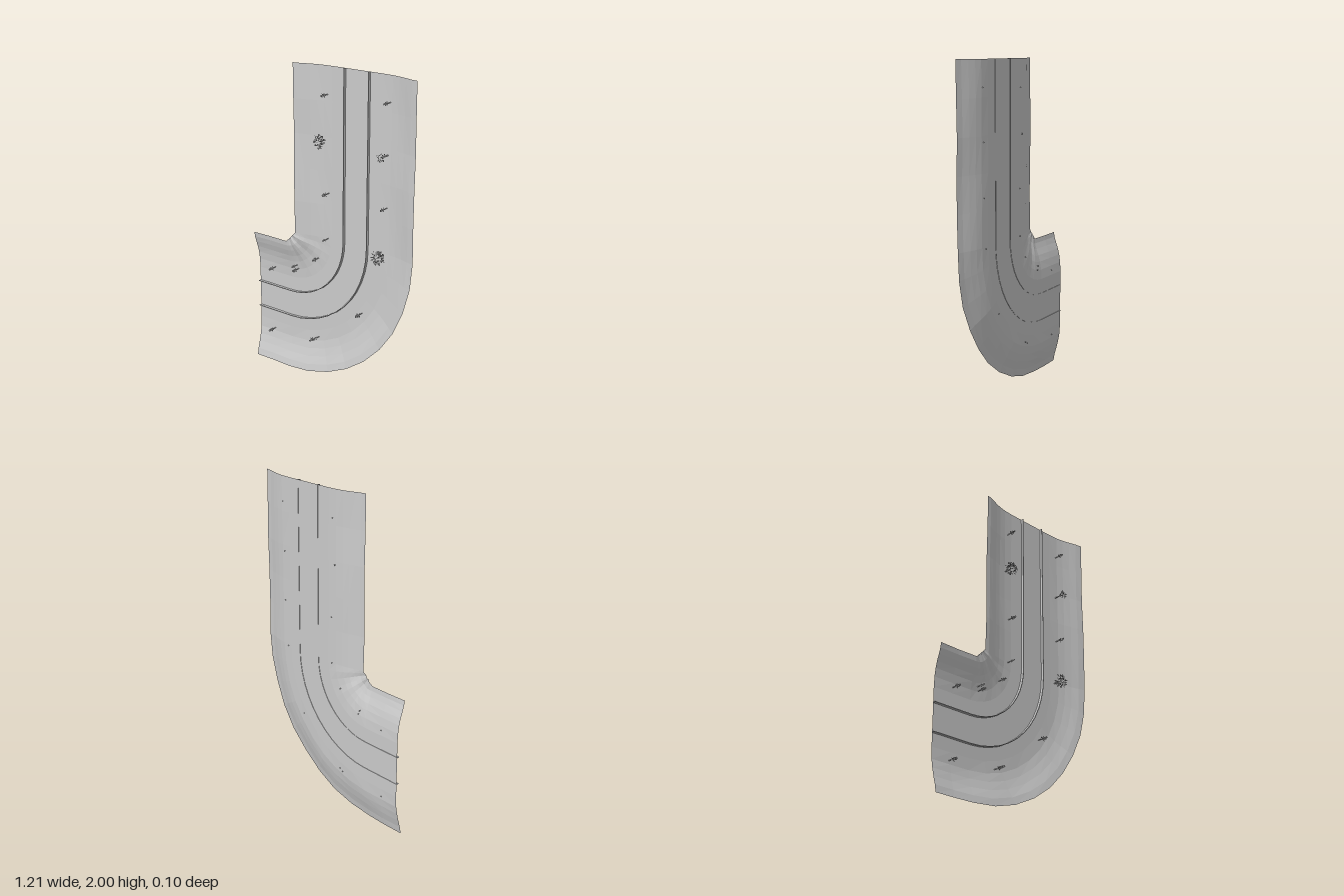
import * as THREE from 'three';
import { mergeGeometries } from 'three/addons/utils/BufferGeometryUtils.js';

const CX = -0.335, CY = 0.94, R = 0.505; // centre and radius of the bend
const material = () => new THREE.MeshStandardMaterial({ color: 0xcccccc, flatShading: true, side: THREE.DoubleSide });

// Stations along the track: origin of the cross-section and its outward direction
function stations(arcSteps) {
  const list = [];
  for (const x of [-0.605, -0.47]) list.push({ x, y: CY, a: -Math.PI / 2, bend: false });
  for (let i = 0; i <= arcSteps; i++) {
    list.push({ x: CX, y: CY, a: -Math.PI / 2 * (1 - i / arcSteps), bend: true });
  }
  for (let i = 1; i <= 5; i++) list.push({ x: CX, y: CY + (2 - CY) * i / 5, a: 0, bend: false });
  return list;
}

// Connects equal-length rows of [x, y, z] points into a sheet
function loft(rows, closed = false) {
  const n = rows[0].length, index = [];
  for (let i = 0; i < rows.length - 1; i++) {
    for (let j = 0; j < (closed ? n : n - 1); j++) {
      const a = i * n + j, b = i * n + (j + 1) % n;
      index.push(a, b, a + n, b, b + n, a + n);
    }
  }
  const g = new THREE.BufferGeometry();
  g.setAttribute('position', new THREE.Float32BufferAttribute(rows.flat(2), 3));
  g.setIndex(index);
  g.computeVertexNormals();
  return g;
}

// Valley section: offset from the centre line, depth
const section = [[-0.435, 0.004], [-0.405, 0], [-0.37, -0.01], [-0.33, -0.024], [-0.29, -0.034],
  [-0.24, -0.042], [-0.18, -0.046], [0, -0.046], [0.17, -0.046], [0.24, -0.044],
  [0.29, -0.036], [0.34, -0.024], [0.39, -0.009], [0.435, 0]];

function groundGeometry() {
  const rows = stations(9).map((s, i) => section.map(([d, z]) => {
    let r = R + d;
    // The inside corner is cut straight across
    if (s.bend && d < -0.42) r *= Math.SQRT1_2 / Math.cos(s.a + Math.PI / 4);
    const rim = Math.max(0, Math.abs(d) - 0.2) / 0.235;
    const bump = 0.007 * rim * (1 - rim * 0.6) * Math.sin(i * 1.9 + d * 7);
    return [s.x + r * Math.cos(s.a), s.y + r * Math.sin(s.a), z + bump];
  }));
  return loft(rows);
}

function railGeometry(offset) {
  const w = 0.0025, back = -0.0485, front = -0.029;
  const corners = [[-w, back], [w, back], [w, front], [-w, front]];
  const rows = stations(12).map(s => corners.map(([d, z]) => {
    const r = R + offset + d;
    return [s.x + r * Math.cos(s.a), s.y + r * Math.sin(s.a), z];
  }));
  return loft(rows, true);
}

function seeded(seed) {
  return () => (seed = (seed * 16807) % 2147483647) / 2147483647;
}

// One small diamond leaf, folded along its middle
function leafGeometry(length, width) {
  return loft([
    [[0, 0, 0], [0, 0, 0], [0, 0, 0]],
    [[-width, 0, length * 0.5], [0, width * 0.5, length * 0.5], [width, 0, length * 0.5]],
    [[0, 0, length], [0, 0, length], [0, 0, length]],
  ]);
}

// Round bush: leaves scattered through a ball on a short stem
function bushGeometry(radius, seed) {
  const rnd = seeded(seed), parts = [];
  const count = Math.round(radius * 2200), middle = 0.05 - radius * 0.85;
  for (let i = 0; i < count; i++) {
    const u = rnd() * 2 - 1, t = rnd() * Math.PI * 2, k = radius * (0.35 + 0.5 * rnd());
    const h = Math.sqrt(1 - u * u);
    const dir = new THREE.Vector3(h * Math.cos(t), h * Math.sin(t), u);
    const aim = dir.clone().add(new THREE.Vector3(rnd() - 0.5, rnd() - 0.5, rnd() - 0.5)).normalize();
    const leaf = leafGeometry(radius * 0.32, radius * 0.11);
    leaf.applyQuaternion(new THREE.Quaternion().setFromUnitVectors(new THREE.Vector3(0, 0, 1), aim));
    leaf.translate(dir.x * k, dir.y * k, middle + dir.z * k * 0.75);
    parts.push(leaf);
  }
  const stem = new THREE.CylinderGeometry(0.002, 0.004, middle + 0.05, 5).rotateX(Math.PI / 2);
  parts.push(stem.translate(0, 0, (middle - 0.05) / 2).deleteAttribute('uv'));
  return mergeGeometries(parts);
}

// Slim shrub: tiers of leaves around a tall stem
function shrubGeometry(radius, seed) {
  const rnd = seeded(seed), parts = [];
  const top = 0.016 + radius * 1.2, base = -0.05;
  for (let tier = 0; tier < 4; tier++) {
    for (let i = 0; i < 5; i++) {
      const leaf = leafGeometry(radius * (1.25 - tier * 0.18), radius * 0.28);
      leaf.rotateY(1.15 - tier * 0.22 + rnd() * 0.2);
      leaf.rotateZ(i * Math.PI * 0.4 + tier * 0.6 + rnd() * 0.4);
      parts.push(leaf.translate(0, 0, -0.012 + tier * (top + 0.004) / 4));
    }
  }
  const stem = new THREE.ConeGeometry(0.003, top - base, 5).rotateX(Math.PI / 2);
  parts.push(stem.translate(0, 0, (top + base) / 2).deleteAttribute('uv'));
  return mergeGeometries(parts);
}

export function createModel() {
  const model = new THREE.Group();
  const add = (name, geometry, x = 0, y = 0) => {
    const mesh = new THREE.Mesh(geometry, material());
    mesh.name = name;
    mesh.position.set(x, y, 0);
    model.add(mesh);
  };

  add('ground', groundGeometry());
  add('innerRail', railGeometry(-0.087));
  add('outerRail', railGeometry(0.087));

  // Bushes: x, y, radius
  [[-0.065, 1.555, 0.042], [0.37, 0.93, 0.044], [0.39, 1.54, 0.03]]
    .forEach(([x, y, r], i) => add('bush' + (i + 1), bushGeometry(r, 11 + i * 37), x, y));

  // Shrubs: x, y, radius
  [[-0.045, 1.83, 0.014], [0.4, 1.845, 0.013], [-0.035, 1.23, 0.014], [0.39, 1.225, 0.014],
    [-0.04, 0.94, 0.009], [-0.115, 0.795, 0.012], [-0.285, 0.708, 0.011], [-0.275, 0.685, 0.013],
    [-0.47, 0.648, 0.014], [-0.48, 0.215, 0.014], [-0.14, 0.245, 0.013], [-0.115, 0.258, 0.01],
    [0.222, 0.515, 0.016]]
    .forEach(([x, y, r], i) => add('shrub' + (i + 1), shrubGeometry(r, 101 + i * 53), x, y));

  return model;
}
